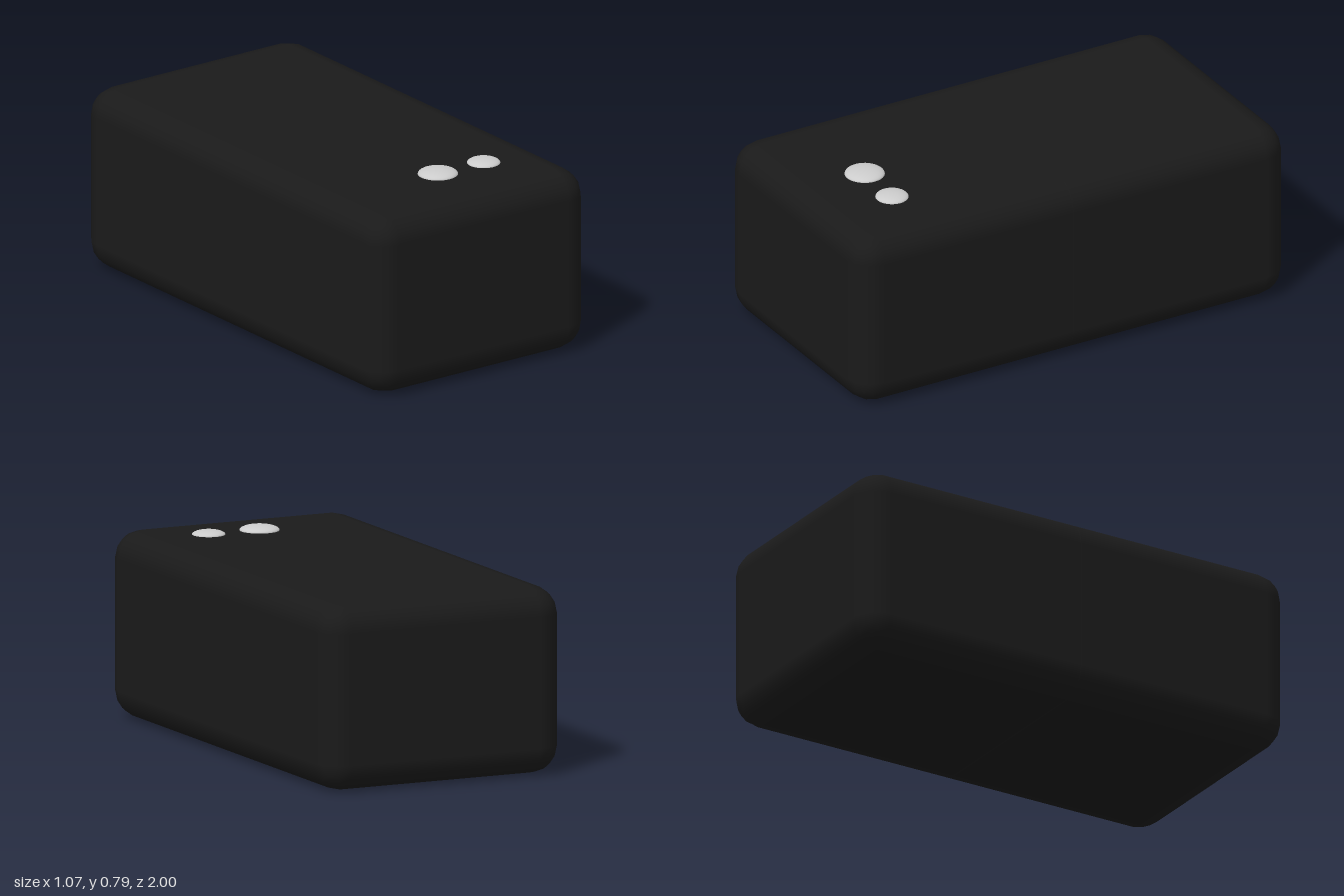
import * as THREE from 'three';
import { RoundedBoxGeometry } from 'three/addons/geometries/RoundedBoxGeometry.js';

const W = 1.07, H = 0.763, L = 2, R = 0.115;
const SEAM = 0.01, GAP = 0.006;

const black = new THREE.MeshStandardMaterial({ color: 0x1a1a1a });
const grey = new THREE.MeshStandardMaterial({ color: 0xcccccc });

// One half of the case: the far rounded end is flattened onto the seam plane
function caseHalf(name, side) {
  const geo = new RoundedBoxGeometry(W, H, L, 2, R);
  const pos = geo.attributes.position;
  const plane = SEAM + side * GAP / 2;
  for (let i = 0; i < pos.count; i++) {
    if (pos.getZ(i) * side < 0) pos.setZ(i, plane);
  }
  const mesh = new THREE.Mesh(geo, black);
  mesh.name = name;
  mesh.position.y = H / 2;
  return mesh;
}

// Shallow domed button set into the top face
function button(name, x, z, radius, height) {
  const geo = new THREE.SphereGeometry(1, 32, 12, 0, Math.PI * 2, 0, Math.PI / 2);
  geo.scale(radius, height, radius);
  const mesh = new THREE.Mesh(geo, grey);
  mesh.name = name;
  mesh.position.set(x, H, z);
  return mesh;
}

export function createModel() {
  const model = new THREE.Group();
  model.name = 'caseWithButtons';

  model.add(caseHalf('frontCase', 1), caseHalf('backCase', -1));

  // Recessed core that closes the seam groove
  const core = new THREE.Mesh(new RoundedBoxGeometry(W - 0.012, H - 0.012, L - 0.3, 2, R), black);
  core.name = 'innerCore';
  core.position.y = H / 2;
  model.add(core);

  model.add(button('largeButton', 0.01, 0.67, 0.081, 0.023));
  model.add(button('smallButton', 0.234, 0.675, 0.067, 0.019));
  return model;
}
